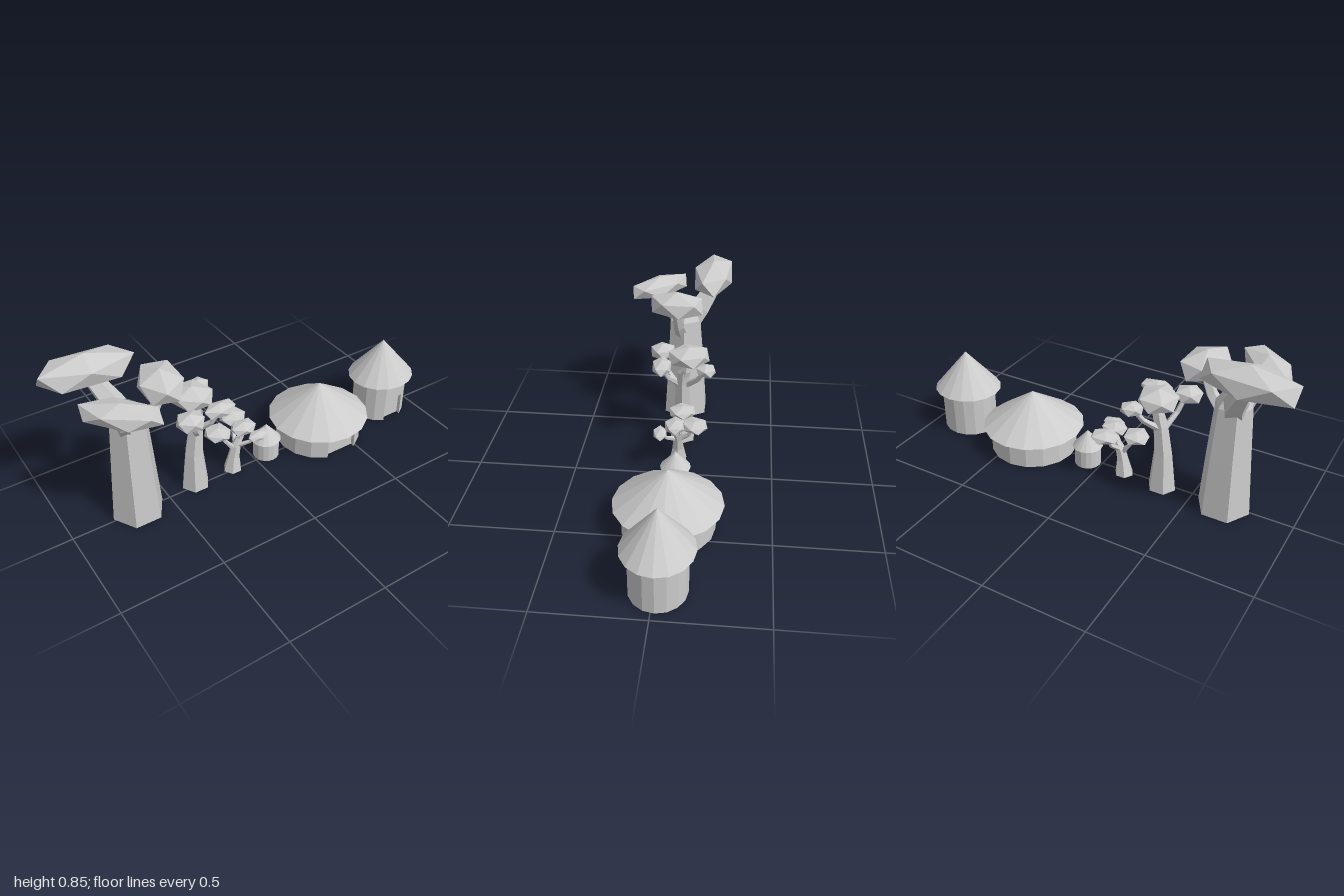
import * as THREE from 'three';

const mat = new THREE.MeshStandardMaterial({ color: 0xcccccc, flatShading: true, side: THREE.DoubleSide });

function add(parent, geometry, name, x = 0, y = 0, z = 0) {
  const mesh = new THREE.Mesh(geometry, mat);
  mesh.name = name;
  mesh.position.set(x, y, z);
  parent.add(mesh);
  return mesh;
}

// Open tapering limb through rings given as [x, y, z, radius]
function limb(rings, sides, level) {
  const centres = rings.map(r => new THREE.Vector3(r[0], r[1], r[2]));
  const up = new THREE.Vector3(0, 1, 0);
  const pos = [], index = [];
  rings.forEach((r, i) => {
    const dir = centres[Math.min(i + 1, rings.length - 1)].clone().sub(centres[Math.max(i - 1, 0)]).normalize();
    const turn = new THREE.Quaternion();
    if (!level) turn.setFromUnitVectors(up, dir);
    for (let k = 0; k < sides; k++) {
      const a = k / sides * Math.PI * 2;
      const v = new THREE.Vector3(Math.cos(a) * r[3], 0, Math.sin(a) * r[3]);
      v.applyQuaternion(turn).add(centres[i]);
      pos.push(v.x, v.y, v.z);
      if (i) {
        const n = (k + 1) % sides, lo = (i - 1) * sides, hi = i * sides;
        index.push(lo + k, hi + k, hi + n, lo + k, hi + n, lo + n);
      }
    }
  });
  const g = new THREE.BufferGeometry();
  g.setAttribute('position', new THREE.Float32BufferAttribute(pos, 3));
  g.setIndex(index);
  g.computeVertexNormals();
  return g;
}

// Flattened 20-sided crown with one corner pointing up
function crown(parent, [x, y, z, rx, ry, rz, yaw = 0, spin = 0]) {
  const g = new THREE.IcosahedronGeometry(1, 0);
  g.rotateZ(Math.atan(2 / (1 + Math.sqrt(5))));
  g.rotateY(spin);
  g.scale(rx / 0.93, ry, rz / 0.93);
  g.rotateY(yaw);
  add(parent, g, 'foliage', x, y, z);
}

function tree(name, trunk, branches, crowns) {
  const g = new THREE.Group();
  g.name = name;
  add(g, limb(trunk, 6, true), 'trunk');
  branches.forEach(b => add(g, limb(b, 5, false), 'branch'));
  crowns.forEach(c => crown(g, c));
  return g;
}

// Round hut: 16-sided wall, cone roof and an optional recessed door
function hut(name, x, z, r, wallH, roofR, roofH, door, squash = 1) {
  const g = new THREE.Group();
  g.name = name;
  g.position.set(x, 0, z);
  g.scale.z = squash;
  const half = Math.PI / 8;
  if (door) {
    add(g, new THREE.CylinderGeometry(r, r, wallH, 14, 1, true, half, Math.PI * 2 - 2 * half), 'wall', 0, wallH / 2);
    const w = r * Math.sin(half), front = r * Math.cos(half), depth = 0.022;
    add(g, new THREE.PlaneGeometry(2 * w, wallH - door), 'lintel', 0, (wallH + door) / 2, front);
    add(g, new THREE.PlaneGeometry(2 * w, door), 'door', 0, door / 2, front - depth);
    for (const s of [-1, 1]) {
      add(g, new THREE.PlaneGeometry(depth, door), 'doorJamb', s * w, door / 2, front - depth / 2).rotation.y = -s * Math.PI / 2;
    }
    add(g, new THREE.PlaneGeometry(2 * w, depth), 'doorHead', 0, door, front - depth / 2).rotation.x = Math.PI / 2;
  } else {
    add(g, new THREE.CylinderGeometry(r, r, wallH, 16, 1, true), 'wall', 0, wallH / 2);
  }
  add(g, new THREE.ConeGeometry(roofR, roofH, 16, 1, true), 'roof', 0, wallH + roofH / 2);
  return g;
}

export function createModel() {
  const model = new THREE.Group();
  model.name = 'villageRow';

  model.add(hut('tallHut', 0.817, -0.017, 0.143, 0.226, 0.178, 0.206, 0.128, 0.92));
  model.add(hut('wideHut', 0.4, -0.017, 0.222, 0.13, 0.26, 0.185, 0.123));
  model.add(hut('smallHut', 0.073, -0.02, 0.067, 0.1, 0.076, 0.088, 0));

  model.add(tree('largeTree',
    [[-0.663, 0, -0.012, 0.128], [-0.664, 0.3, -0.01, 0.107], [-0.666, 0.56, -0.005, 0.088], [-0.67, 0.62, -0.01, 0.05]],
    [
      [[-0.67, 0.53, -0.01, 0.07], [-0.7, 0.61, -0.08, 0.055], [-0.76, 0.73, -0.16, 0.038]],
      [[-0.7, 0.53, 0.03, 0.04], [-0.73, 0.6, 0.1, 0.03], [-0.745, 0.68, 0.13, 0.024]],
      [[-0.62, 0.48, 0.01, 0.035], [-0.55, 0.56, 0.02, 0.028], [-0.5, 0.67, 0.03, 0.024]],
    ],
    [
      [-0.77, 0.768, -0.148, 0.232, 0.08, 0.105, -0.08, 0.3],
      [-0.752, 0.7, 0.14, 0.19, 0.056, 0.085, -0.78],
      [-0.512, 0.7, 0.028, 0.105, 0.072, 0.148, -0.25, 0.3],
    ]));

  model.add(tree('mediumTree',
    [[-0.345, 0, -0.02, 0.071], [-0.343, 0.2, -0.02, 0.048], [-0.325, 0.35, -0.02, 0.038], [-0.31, 0.42, -0.025, 0.03]],
    [
      [[-0.32, 0.36, -0.02, 0.03], [-0.305, 0.43, -0.04, 0.024], [-0.31, 0.5, -0.05, 0.02]],
      [[-0.33, 0.31, -0.01, 0.018], [-0.37, 0.39, 0.06, 0.014], [-0.4, 0.48, 0.09, 0.011]],
      [[-0.32, 0.35, 0, 0.018], [-0.28, 0.4, 0.05, 0.014], [-0.255, 0.47, 0.08, 0.011]],
      [[-0.32, 0.34, -0.04, 0.018], [-0.27, 0.4, -0.1, 0.014], [-0.24, 0.47, -0.14, 0.011]],
    ],
    [
      [-0.323, 0.505, -0.053, 0.1, 0.052, 0.11, 0.3],
      [-0.411, 0.483, 0.09, 0.07, 0.042, 0.066, 0.2],
      [-0.249, 0.48, 0.08, 0.086, 0.034, 0.05, 0.05],
      [-0.236, 0.475, -0.145, 0.056, 0.032, 0.052, 0.5],
    ]));

  model.add(tree('smallTree',
    [[-0.133, 0, -0.015, 0.048], [-0.124, 0.08, -0.015, 0.031], [-0.11, 0.14, -0.015, 0.026], [-0.09, 0.18, -0.015, 0.018]],
    [
      [[-0.12, 0.12, -0.015, 0.015], [-0.165, 0.18, -0.02, 0.011], [-0.2, 0.24, -0.03, 0.008]],
      [[-0.11, 0.14, -0.02, 0.014], [-0.09, 0.18, -0.07, 0.011], [-0.075, 0.24, -0.1, 0.008]],
      [[-0.1, 0.15, -0.015, 0.018], [-0.08, 0.19, -0.01, 0.014], [-0.07, 0.24, -0.005, 0.01]],
      [[-0.11, 0.14, -0.01, 0.013], [-0.06, 0.175, 0.035, 0.01], [-0.03, 0.22, 0.065, 0.008]],
    ],
    [
      [-0.205, 0.247, -0.03, 0.067, 0.028, 0.07, 0.2],
      [-0.074, 0.248, -0.105, 0.073, 0.026, 0.064, 0.3],
      [-0.072, 0.242, -0.005, 0.07, 0.03, 0.055, 0.1],
      [-0.03, 0.221, 0.066, 0.061, 0.021, 0.036, 0.1],
    ]));

  return model;
}
